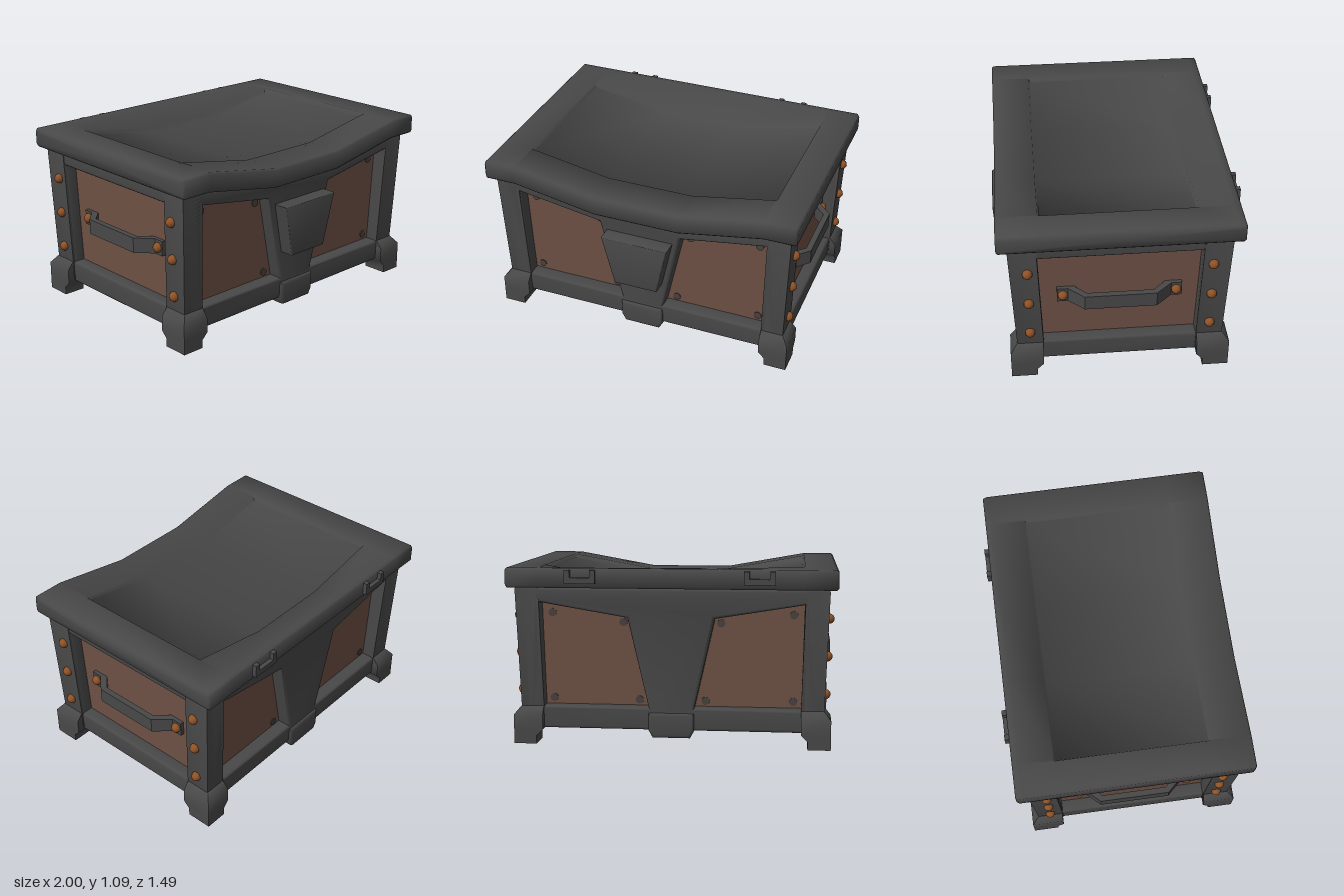
import * as THREE from 'three';
import { toCreasedNormals } from 'three/addons/utils/BufferGeometryUtils.js';

const mat = (name, color) => {
  const m = new THREE.MeshStandardMaterial({ color });
  m.name = name;
  return m;
};

// Walls lean outwards slightly towards the top
const flareX = y => 1 + 0.035 * (y - 0.23);
const flareZ = y => 1 + 0.065 * (y - 0.23);

function reshape(geo, rule) {
  const p = geo.attributes.position;
  const v = new THREE.Vector3();
  for (let i = 0; i < p.count; i++) {
    rule(v.fromBufferAttribute(p, i));
    p.setXYZ(i, v.x, v.y, v.z);
  }
  geo.computeVertexNormals();
  return geo;
}
const flare = geo => reshape(geo, v => { v.x *= flareX(v.y); v.z *= flareZ(v.y); });
const smooth = (geo, angle = 0.9) => toCreasedNormals(geo, angle);
const shapeOf = pts => new THREE.Shape(pts.map(p => new THREE.Vector2(...p)));

function extrude(shape, depth, bevel = 0) {
  return new THREE.ExtrudeGeometry(shape, {
    depth: depth - bevel * 2, bevelEnabled: bevel > 0, bevelSize: bevel,
    bevelThickness: bevel, bevelOffset: -bevel, bevelSegments: 3,
  }).translate(0, 0, bevel);
}

// Lid swept across x: front edge and sunken top panel sag in the middle, back edge is level
function lidGeometry() {
  const xs = [-1, -0.988, -0.8, -0.79, -0.27, 0.27, 0.79, 0.8, 0.988, 1];
  const section = (d, sink) => [
    [0.64, 0.97 - d], [0.705, 0.97 - d], [0.717, 0.982 - d], [0.717, 1.078 - d],
    [0.705, 1.09 - d], [0.47, 1.09 - d], [0.46, 1.09 - d - sink], [-0.46, 1.09 - d - sink],
    [-0.47, 1.09 - d], [-0.67, 1.09], [-0.705, 1.09], [-0.717, 1.078], [-0.717, 0.982],
    [-0.705, 0.97], [-0.64, 0.97],
  ];
  const pos = [], idx = [], n = section(0, 0).length;
  for (const x of xs) {
    const ax = Math.abs(x);
    const d = 0.095 * THREE.MathUtils.clamp((0.8 - ax) / 0.53, 0, 1);
    const k = ax === 1 ? 0.012 : 0;
    for (const [z, y] of section(d, ax < 0.8 ? 0.025 : 0)) {
      pos.push(x, y - Math.sign(y - 1.03) * k, z - Math.sign(z) * k);
    }
  }
  for (let j = 0; j < xs.length - 1; j++) {
    for (let i = 0; i < n; i++) {
      const a = j * n + i, d = j * n + (i + 1) % n, b = a + n, c = d + n;
      idx.push(a, b, c, a, c, d);
    }
  }
  const last = (xs.length - 1) * n, mid = pos.length / 3;
  pos.push(-1, 1.03, 0, 1, 1.03, 0);
  for (let i = 0; i < n; i++) {
    const k = (i + 1) % n;
    idx.push(mid, i, k, mid + 1, last + k, last + i);
  }
  const geo = new THREE.BufferGeometry();
  geo.setAttribute('position', new THREE.Float32BufferAttribute(pos, 3));
  geo.setIndex(idx);
  return smooth(geo, 1.3);
}

// Front or back frame: two slanted openings either side of a tapering strap
function frameShape(sag) {
  const shape = shapeOf([[-0.9, 0.09], [0.9, 0.09], [0.9, 0.97], [0.8, 0.97],
    [0.27, 0.97 - sag], [-0.27, 0.97 - sag], [-0.8, 0.97], [-0.9, 0.97]]);
  for (const s of [-1, 1]) {
    shape.holes.push(shapeOf([[s * 0.79, 0.23], [s * 0.14, 0.23], [s * 0.26, 0.785], [s * 0.785, 0.875]]));
  }
  return shape;
}

// Foot block: wide at the base, drawn in to the post on top
function footGeometry(sx, sz) {
  const ys = [0, 0.05, 0.09, 0.18, 0.23];
  return smooth(reshape(new THREE.BoxGeometry(1, 1, 1, 1, 4, 1), v => {
    const level = Math.round((v.y + 0.5) * 4);
    const out = level === 4 ? 0.04 : 0, inn = level < 2 ? 0.04 : 0;
    v.x = sx * (v.x * sx > 0 ? 0.97 - out : 0.79 + inn);
    v.z = sz * (v.z * sz > 0 ? 0.67 - out : 0.47 + inn);
    v.y = ys[level];
  }), 0.9);
}

export function createModel() {
  const iron = mat('dark iron', 0x484848);
  const wood = mat('brown wood', 0x6e5145);
  const copper = mat('copper', 0x8f5226);
  const stud = mat('dull stud', 0x47403d);
  const chest = new THREE.Group();
  chest.name = 'chest';
  const add = (name, geo, material) => {
    const m = new THREE.Mesh(geo, material);
    m.name = name;
    chest.add(m);
    return m;
  };

  // Wooden core whose sides show as recessed panels
  add('panels', flare(new THREE.BoxGeometry(1.69, 0.79, 1.08).translate(0, 0.49, 0)),
    [wood, wood, iron, iron, wood, wood]);
  add('lid', lidGeometry(), iron);

  // Front and back frames
  const strapFoot = shapeOf([[-0.14, 0.2], [-0.14, 0.09], [-0.115, 0.045],
    [0.115, 0.045], [0.14, 0.09], [0.14, 0.2]]);
  for (const [k, [word, sag]] of [['front', 0.07], ['back', 0]].entries()) {
    const turn = k * Math.PI;
    add(word + 'Frame', smooth(flare(extrude(frameShape(sag), 0.11, 0.02)
      .translate(0, 0, 0.517).rotateY(turn))), iron);
    add(word + 'StrapFoot', smooth(extrude(strapFoot, 0.17, 0.02).translate(0, 0, 0.472).rotateY(turn)), iron);
    // Small studs at the panel corners
    for (const s of [-1, 1]) {
      for (const [x, y] of [[0.74, 0.805], [0.30, 0.75], [0.74, 0.27], [0.205, 0.265]]) {
        add('panelStud', new THREE.CylinderGeometry(0.025, 0.025, 0.012, 12).rotateX(Math.PI / 2)
          .translate(s * x, y, 0.54 * flareZ(y)).rotateY(turn), stud);
      }
    }
  }

  // Side frames, bent carrying handles and their rivets
  const side = shapeOf([[-0.6, 0.09], [0.6, 0.09], [0.6, 0.97], [-0.6, 0.97]]);
  side.holes.push(shapeOf([[-0.465, 0.23], [0.465, 0.23], [0.465, 0.88], [-0.465, 0.88]]));
  const grip = shapeOf([[-0.375, 0.84], [-0.29, 0.84], [-0.2, 0.93], [0.2, 0.93], [0.29, 0.84],
    [0.375, 0.84], [0.375, 0.88], [0.31, 0.88], [0.215, 0.967], [-0.215, 0.967], [-0.31, 0.88], [-0.375, 0.88]]);
  const upright = new THREE.Matrix4().makeBasis(
    new THREE.Vector3(0, 0, 1), new THREE.Vector3(1, 0, 0), new THREE.Vector3(0, 1, 0));
  for (const [k, word] of ['left', 'right'].entries()) {
    const turn = k * Math.PI;
    add(word + 'Frame', smooth(flare(extrude(side, 0.105, 0.02).translate(0, 0, 0.82)
      .rotateY(Math.PI / 2 + turn))), iron);
    add(word + 'Handle', extrude(grip, 0.094).applyMatrix4(upright).translate(0, 0.507, 0).rotateY(turn), iron);
    const rivet = (x, y, z) => add('rivet', new THREE.SphereGeometry(0.031, 10, 8)
      .translate(x, y, z).rotateY(turn), copper);
    for (const s of [-1, 1]) {
      rivet(0.882, 0.555, s * 0.34);
      for (const y of [0.322, 0.555, 0.785]) rivet(0.932 * flareX(y), y, s * 0.545);
    }
  }

  // Corner posts and feet
  const post = shapeOf([[-0.07, -0.08], [0.07, -0.08], [0.07, 0.08], [-0.07, 0.08]]);
  for (const sx of [-1, 1]) {
    for (const sz of [-1, 1]) {
      const geo = extrude(post, 0.89, 0.025).rotateX(-Math.PI / 2).translate(sx * 0.859, 0.09, sz * 0.547);
      add('cornerPost', smooth(flare(geo)), iron);
      add('foot', footGeometry(sx, sz), iron);
    }
  }

  // Lock block on the front strap
  const lock = shapeOf([[-0.14, 0.41], [0.14, 0.41], [0.215, 0.742], [-0.215, 0.742]]);
  add('lock', smooth(reshape(extrude(lock, 0.13, 0.01).translate(0, 0, 0.6),
    v => { v.z += 0.04 * (v.y - 0.41); })), iron);

  // Staple-shaped hinges on the back of the lid
  const hinge = shapeOf([[-0.093, 1.08], [-0.093, 1.0], [0.093, 1.0], [0.093, 1.08],
    [0.06, 1.08], [0.06, 1.035], [-0.06, 1.035], [-0.06, 1.08]]);
  for (const s of [-1, 1]) {
    add('hinge', extrude(hinge, 0.04).translate(s * 0.537, 0, -0.743), iron);
  }
  return chest;
}
